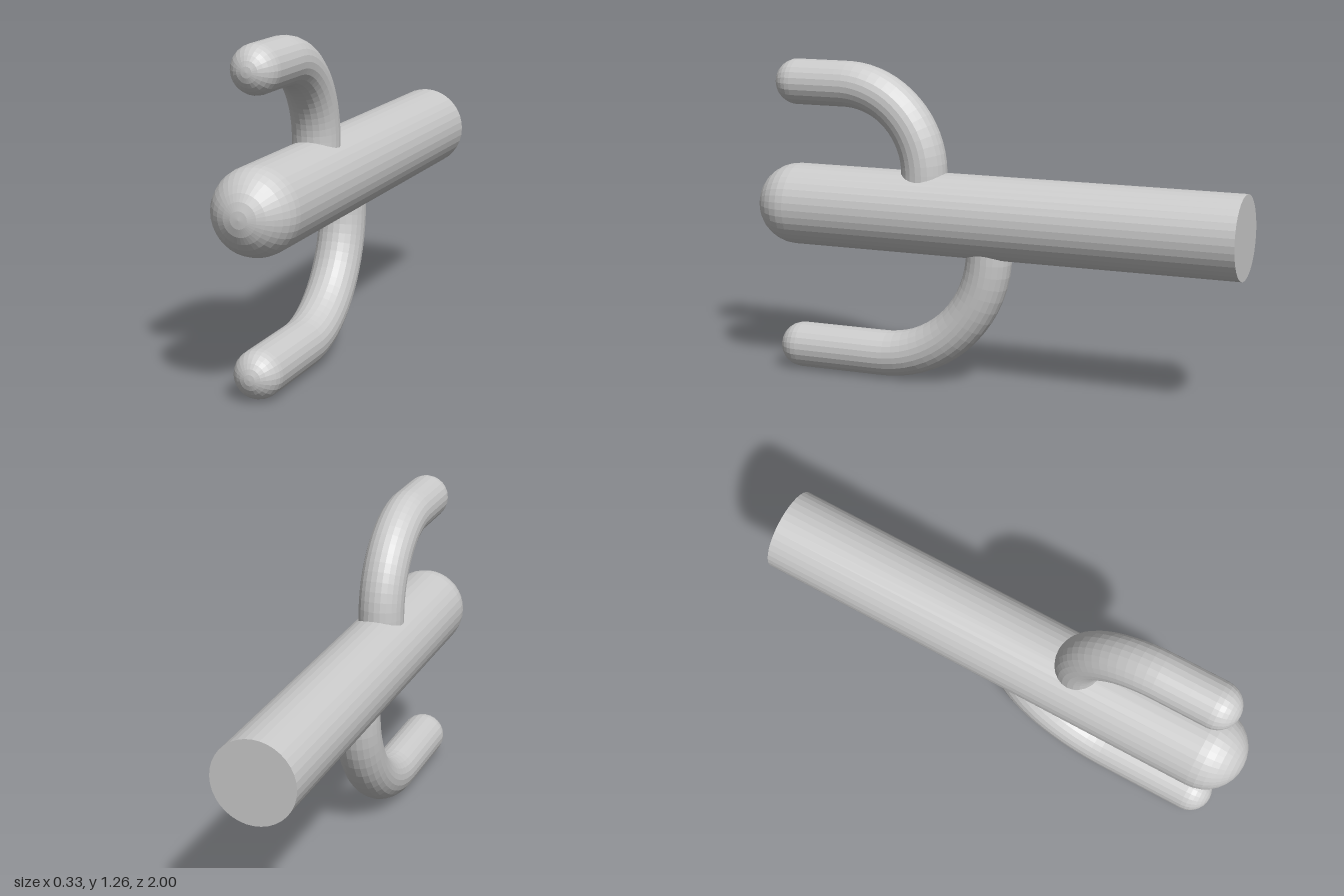
import * as THREE from 'three';

const material = new THREE.MeshStandardMaterial({ color: 0xcccccc, flatShading: true });
const AXIS_Y = 0.683; // height of the trunk's centre line

// Horizontal trunk: flat at the back, domed at the front
function createTrunk() {
  const r = 0.163;
  const profile = [new THREE.Vector2(0, -1), new THREE.Vector2(r, -1)];
  for (let i = 0; i <= 8; i++) {
    const a = (i / 8) * Math.PI / 2;
    profile.push(new THREE.Vector2(i === 8 ? 0 : r * Math.cos(a), 1 - r + r * Math.sin(a)));
  }
  const geometry = new THREE.LatheGeometry(profile, 36).rotateX(Math.PI / 2);
  const trunk = new THREE.Mesh(geometry, material);
  trunk.name = 'trunk';
  trunk.position.y = AXIS_Y;
  return trunk;
}

// Arm rising from the trunk, bending through a quarter circle towards the front
function createArm(name, rootZ, tipY, bend) {
  const r = 0.091, tipZ = 0.923 - r;
  const dir = Math.sign(tipY - AXIS_Y);
  const arcPoint = (a) => new THREE.Vector3(
    0, tipY - dir * bend * (1 - Math.sin(a)), rootZ + bend * (1 - Math.cos(a)));

  const path = new THREE.CurvePath();
  const start = arcPoint(0), end = arcPoint(Math.PI / 2);
  path.add(new THREE.LineCurve3(new THREE.Vector3(0, AXIS_Y, rootZ), start));
  const k = 0.5523 * bend;
  path.add(new THREE.CubicBezierCurve3(
    start,
    new THREE.Vector3(0, start.y + dir * k, start.z),
    new THREE.Vector3(0, end.y, end.z - k),
    end));
  path.add(new THREE.LineCurve3(end, new THREE.Vector3(0, tipY, tipZ)));

  const limb = new THREE.Mesh(new THREE.TubeGeometry(path, 28, r, 24), material);
  limb.name = name + 'Limb';

  // Rounded end
  const dome = new THREE.SphereGeometry(r, 24, 7, 0, Math.PI * 2, 0, Math.PI / 2).rotateX(Math.PI / 2);
  const tip = new THREE.Mesh(dome, material);
  tip.name = name + 'Tip';
  tip.position.set(0, tipY, tipZ);

  const arm = new THREE.Group();
  arm.name = name;
  arm.add(limb, tip);
  return arm;
}

export function createModel() {
  const model = new THREE.Group();
  model.name = 'branchedTrunk';
  model.add(
    createTrunk(),
    createArm('upperArm', 0.288, 1.177, 0.335),
    createArm('lowerArm', 0.015, 0.096, 0.455));
  return model;
}
